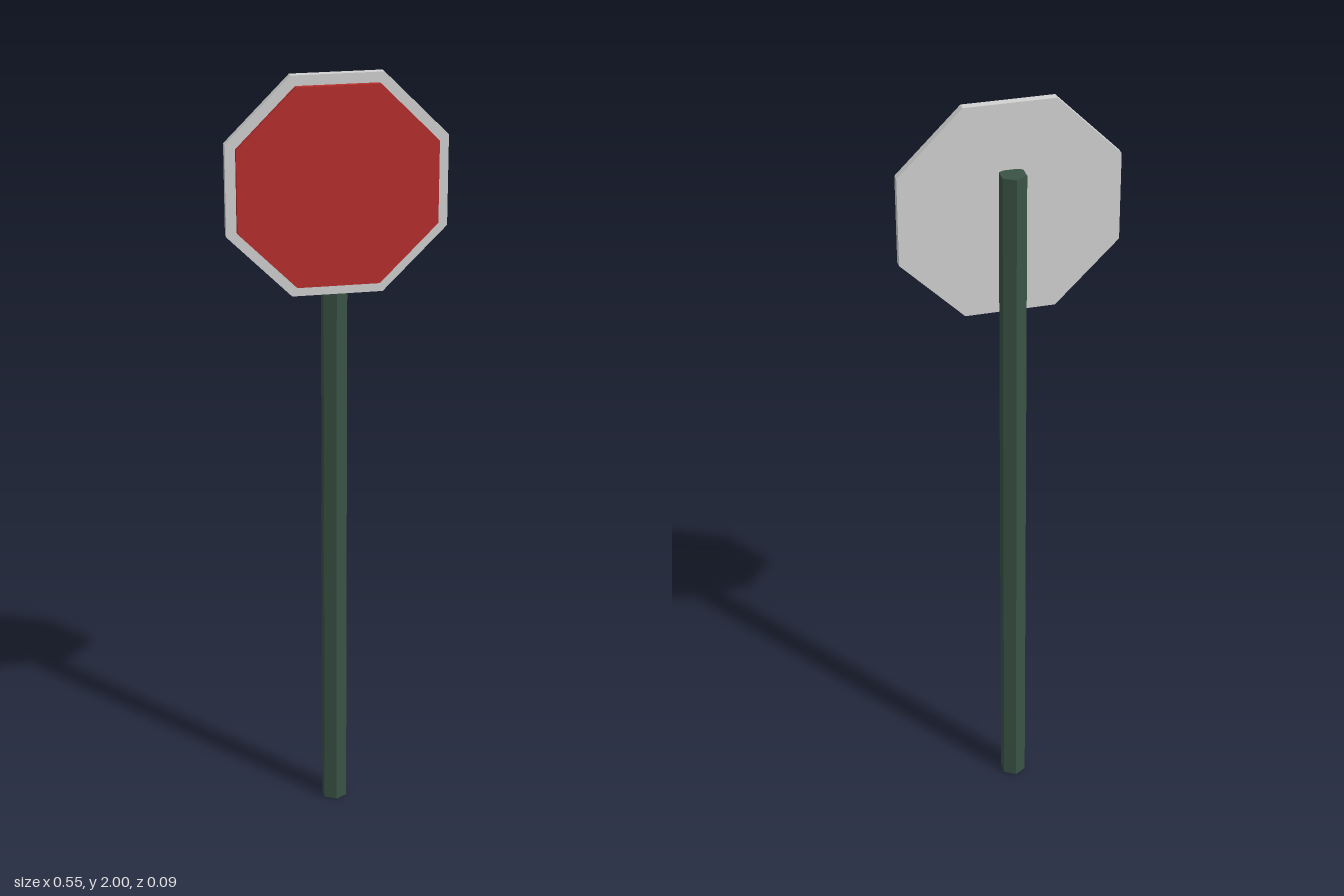
import * as THREE from 'three';

const SIGN_Y = 1.7275;

function material(name, color) {
  const m = new THREE.MeshStandardMaterial({ color, flatShading: true });
  m.name = name;
  return m;
}

// Upright octagonal plate between two depths, with flat sides on top and bottom
function octagonPlate(name, halfWidth, zBack, zFront, mat) {
  const radius = halfWidth / Math.cos(Math.PI / 8);
  const geometry = new THREE.CylinderGeometry(radius, radius, zFront - zBack, 8);
  geometry.rotateY(Math.PI / 8).rotateX(Math.PI / 2);
  const mesh = new THREE.Mesh(geometry, mat);
  mesh.name = name;
  mesh.position.set(0, SIGN_Y, (zBack + zFront) / 2);
  return mesh;
}

export function createModel() {
  const model = new THREE.Group();
  model.name = 'roadSign';

  const postGreen = material('post green', 0x3a5346);
  const rimGrey = material('rim grey', 0xd2d2d2);
  const signRed = material('sign red', 0xb82e2e);

  // Six-sided post with edges pointing to the front and back
  const postHeight = 1.832;
  const post = new THREE.Mesh(new THREE.CylinderGeometry(0.0345, 0.0345, postHeight, 6), postGreen);
  post.name = 'post';
  post.position.set(0, postHeight / 2, -0.0125);
  model.add(post);

  // Grey backing plate forms the rim; the red face sits proud of it
  model.add(octagonPlate('backingPlate', 0.2735, 0.012, 0.033, rimGrey));
  model.add(octagonPlate('signFace', 0.248, 0.03, 0.047, signRed));

  return model;
}
